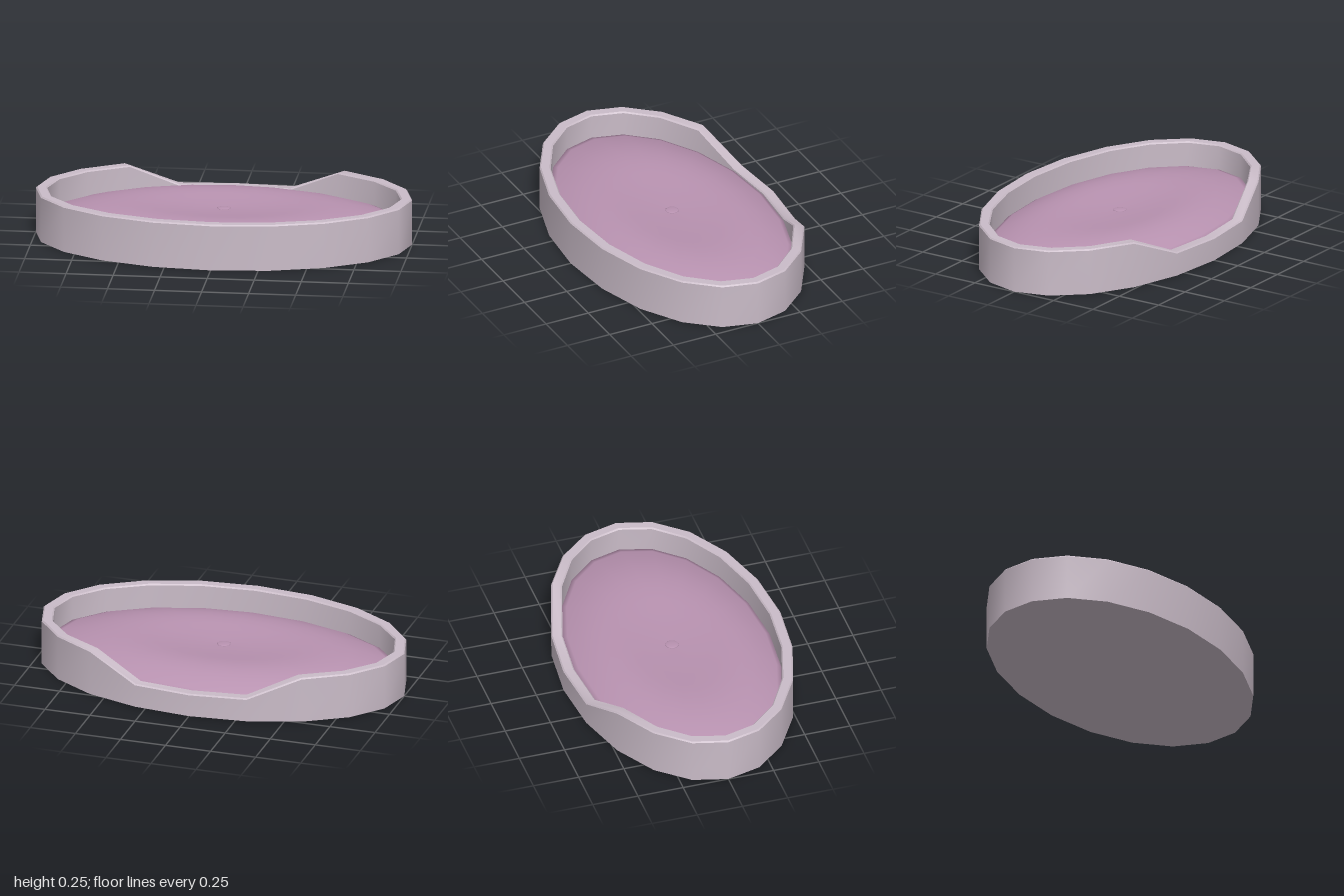
import * as THREE from 'three';
import { toCreasedNormals } from 'three/addons/utils/BufferGeometryUtils.js';

const SIDES = 20;
const RX = 1, RZ = 0.6;

// Rim height at each corner: the three rear corners dip to form the entrance
function rimHeight(i) {
  const fromBack = Math.abs((i % SIDES) - SIDES / 2);
  return fromBack === 0 ? 0.127 : fromBack === 1 ? 0.13 : 0.25;
}

// Oval shell: base plate, outer wall, bevelled rim and inner wall as one loft
function shellGeometry() {
  // [inset from the outline, drop below the rim, or null for ground level]
  const section = [[null, null], [0, null], [0, 0.007], [0.007, 0], [0.053, 0], [0.06, 0.007], [0.06, null]];
  const point = ([inset, drop], i) => {
    if (inset === null) return [0, 0, 0];
    const t = (i / SIDES) * Math.PI * 2;
    const y = drop === null ? 0 : rimHeight(i) - drop;
    return [(RX - inset) * Math.sin(t), y, (RZ - inset) * Math.cos(t)];
  };
  const positions = [];
  for (let j = 0; j < section.length - 1; j++) {
    for (let i = 0; i < SIDES; i++) {
      const a = point(section[j], i), b = point(section[j], i + 1);
      const c = point(section[j + 1], i + 1), d = point(section[j + 1], i);
      if (j > 0) positions.push(...a, ...b, ...c);
      positions.push(...a, ...c, ...d);
    }
  }
  const geometry = new THREE.BufferGeometry();
  geometry.setAttribute('position', new THREE.Float32BufferAttribute(positions, 3));
  return toCreasedNormals(geometry, 0.6);
}

// Cushion: soft rounded edge with a shallow dip in the middle
function cushionGeometry() {
  const profile = [
    [0.94, 0.08], [0.94, 0.112], [0.9, 0.126], [0.8, 0.153], [0.7, 0.173], [0.6, 0.184],
    [0.5, 0.187], [0.4, 0.183], [0.3, 0.176], [0.15, 0.168], [0, 0.165],
  ].map(([r, y]) => new THREE.Vector2(r, y));
  const geometry = new THREE.LatheGeometry(profile, SIDES);
  geometry.scale(1, 1, 0.54 / 0.94);
  return geometry;
}

export function createModel() {
  const group = new THREE.Group();
  group.name = 'ovalBed';
  const shellMaterial = new THREE.MeshStandardMaterial({ color: 0xcabcc8 });
  const cushionMaterial = new THREE.MeshStandardMaterial({ color: 0xb892b0 });

  const add = (name, geometry, material) => {
    const mesh = new THREE.Mesh(geometry, material);
    mesh.name = name;
    group.add(mesh);
    return mesh;
  };

  add('shell', shellGeometry(), shellMaterial);
  add('cushion', cushionGeometry(), cushionMaterial);

  // Flat round button in the dip
  const button = add('button', new THREE.SphereGeometry(0.036, 16, 8), cushionMaterial);
  button.scale.y = 0.15;
  button.position.y = 0.166;

  return group;
}
